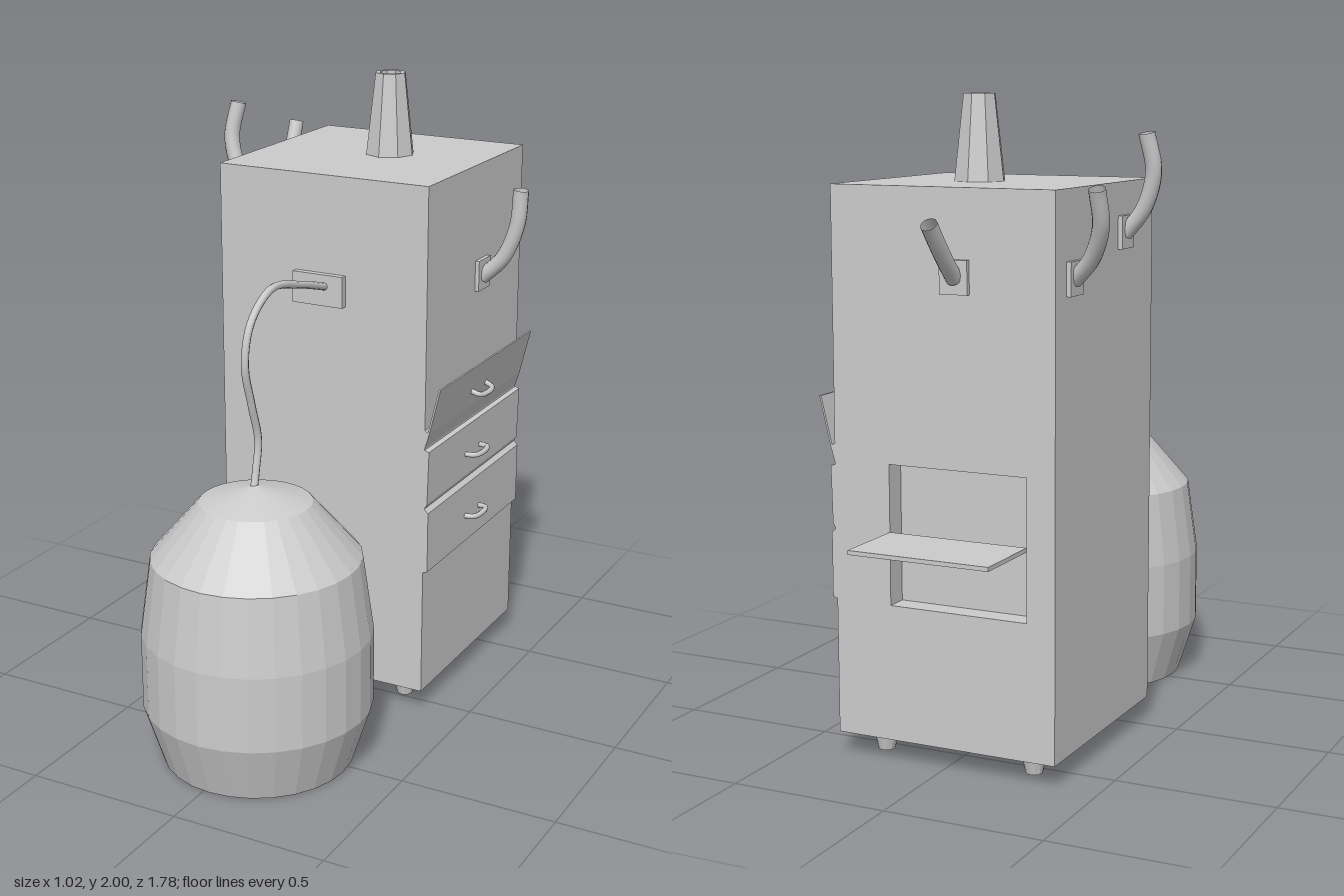
import * as THREE from 'three';

const flat = new THREE.MeshStandardMaterial({ color: 0xcccccc, flatShading: true });
const flatDouble = new THREE.MeshStandardMaterial({ color: 0xcccccc, flatShading: true, side: THREE.DoubleSide });
const smooth = new THREE.MeshStandardMaterial({ color: 0xcccccc, side: THREE.DoubleSide });

const X0 = -0.37, X1 = 0.355, Y0 = 0.07, Y1 = 1.74, Z0 = -0.645, Z1 = 0.07;

export function createModel() {
  const model = new THREE.Group();
  model.name = 'stoveCabinetWithBarrel';

  const add = (name, geometry, material = flat, parent = model) => {
    const mesh = new THREE.Mesh(geometry, material);
    mesh.name = name;
    parent.add(mesh);
    return mesh;
  };

  // Box given by its lower and upper corners
  const box = (name, a, b) => {
    const mesh = add(name, new THREE.BoxGeometry(b[0] - a[0], b[1] - a[1], b[2] - a[2]));
    mesh.position.set((a[0] + b[0]) / 2, (a[1] + b[1]) / 2, (a[2] + b[2]) / 2);
    return mesh;
  };

  // Profile in x and y, extruded along z
  const prism = (name, points, depth, z, hole) => {
    const shape = new THREE.Shape(points.map(p => new THREE.Vector2(...p)));
    if (hole) shape.holes.push(new THREE.Path(hole.map(p => new THREE.Vector2(...p))));
    const geometry = new THREE.ExtrudeGeometry(shape, { depth, bevelEnabled: false });
    geometry.translate(0, 0, z);
    return add(name, geometry);
  };

  const rect = (xa, ya, xb, yb) => [[xa, ya], [xb, ya], [xb, yb], [xa, yb]];

  const tube = (name, points, radius, segments = 16, sides = 12, parent = model) => {
    const curve = new THREE.CatmullRomCurve3(points.map(p => new THREE.Vector3(...p)));
    return add(name, new THREE.TubeGeometry(curve, segments, radius, sides), smooth, parent);
  };

  // Cabinet: solid core, and a back wall with a hatch opening
  const recess = 0.07;
  box('cabinetCore', [X0, Y0, Z0 + recess], [X1, Y1, Z1]);
  prism('cabinetBackWall', rect(X0, Y0, X1, Y1), recess, Z0, rect(-0.28, 0.49, 0.17, 0.92));
  box('backShelf', [-0.28, 0.702, -0.89], [0.17, 0.715, Z0]);

  // Tapered feet
  for (const x of [-0.255, 0.25]) {
    for (const z of [-0.54, -0.03]) {
      add('foot', new THREE.CylinderGeometry(0.042, 0.026, Y0, 12)).position.set(x, Y0 / 2, z);
    }
  }

  // Chimney with a hollow mouth
  const chimney = [[0.08, Y1], [0.05, 2], [0.035, 2], [0.035, 1.92], [0, 1.92]];
  add('chimney', new THREE.LatheGeometry(chimney.map(p => new THREE.Vector2(...p)), 8), flatDouble)
    .position.set(0.03, 0, -0.32);

  // Drawer fronts on the left side, the top one ending in a tilted flap
  const depth = Z1 - Z0;
  prism('lowerDrawer', [[X1, 0.49], [0.37, 0.495], [0.37, 0.695], [X1, 0.71]], depth, Z0);
  prism('middleDrawer', [[X1, 0.705], [0.366, 0.725], [0.37, 0.9], [X1, 0.905]], depth, Z0);
  prism('upperDrawer', [[X1, 0.91], [0.37, 0.96], [X1, 0.97]], depth, Z0);
  prism('upperDrawerFlap', [[0.364, 0.96], [0.37, 0.96], [0.406, 1.11], [0.4, 1.11]], depth, Z0);

  // Bowed drawer handles
  const handles = [[0.365, 0.585, 0], [0.365, 0.8, 0], [0.378, 1.02, -0.35]];
  for (const [x, y, tilt] of handles) {
    const handle = tube('drawerHandle', [
      [0, 0, -0.055], [0.03, 0, -0.048], [0.04, 0, -0.025],
      [0.04, 0, 0.025], [0.03, 0, 0.048], [0, 0, 0.055],
    ], 0.009, 20, 8);
    handle.position.set(x, y, -0.272);
    handle.rotation.z = tilt;
  }

  // Mounting plates and curved pipes
  box('frontPlate', [-0.1, 1.33, Z1], [0.075, 1.43, 0.092]);
  box('leftPlate', [X1, 1.33, -0.375], [0.368, 1.43, -0.285]);
  box('rightFrontPlate', [-0.384, 1.54, -0.2], [X0, 1.64, -0.11]);
  box('rightRearPlate', [-0.384, 1.435, -0.57], [X0, 1.535, -0.48]);
  box('backPlate', [-0.1, 1.435, -0.66], [-0.01, 1.535, Z0]);

  tube('leftPipe', [[0.36, 1.37, -0.33], [0.43, 1.44, -0.33], [0.475, 1.55, -0.33], [0.485, 1.665, -0.33]], 0.025);
  tube('rightFrontPipe', [[-0.375, 1.585, -0.155], [-0.435, 1.66, -0.16], [-0.47, 1.77, -0.17], [-0.455, 1.885, -0.19]], 0.025);
  tube('rightRearPipe', [[-0.375, 1.48, -0.525], [-0.44, 1.545, -0.555], [-0.485, 1.64, -0.595], [-0.49, 1.745, -0.635]], 0.025);
  tube('backPipe', [[-0.055, 1.48, -0.65], [-0.055, 1.53, -0.7], [-0.055, 1.585, -0.75], [-0.055, 1.645, -0.8]], 0.025);

  // Barrel with a shallow cone lid
  const barrel = [[0, 0], [0.298, 0], [0.357, 0.185], [0.357, 0.425], [0.323, 0.665], [0.172, 0.84], [0, 0.89]];
  add('barrel', new THREE.LatheGeometry(barrel.map(p => new THREE.Vector2(...p)), 28), flat)
    .position.set(0.02, 0, 0.537);

  // Hose from the barrel to the front plate
  tube('hose', [
    [0.012, 1.39, 0.08], [0.012, 1.435, 0.24], [0.012, 1.465, 0.42], [0.012, 1.39, 0.54],
    [0.012, 1.275, 0.575], [0.012, 1.14, 0.54], [0.012, 1.02, 0.505], [0.012, 0.93, 0.52], [0.015, 0.87, 0.54],
  ], 0.012, 48, 8);

  return model;
}
